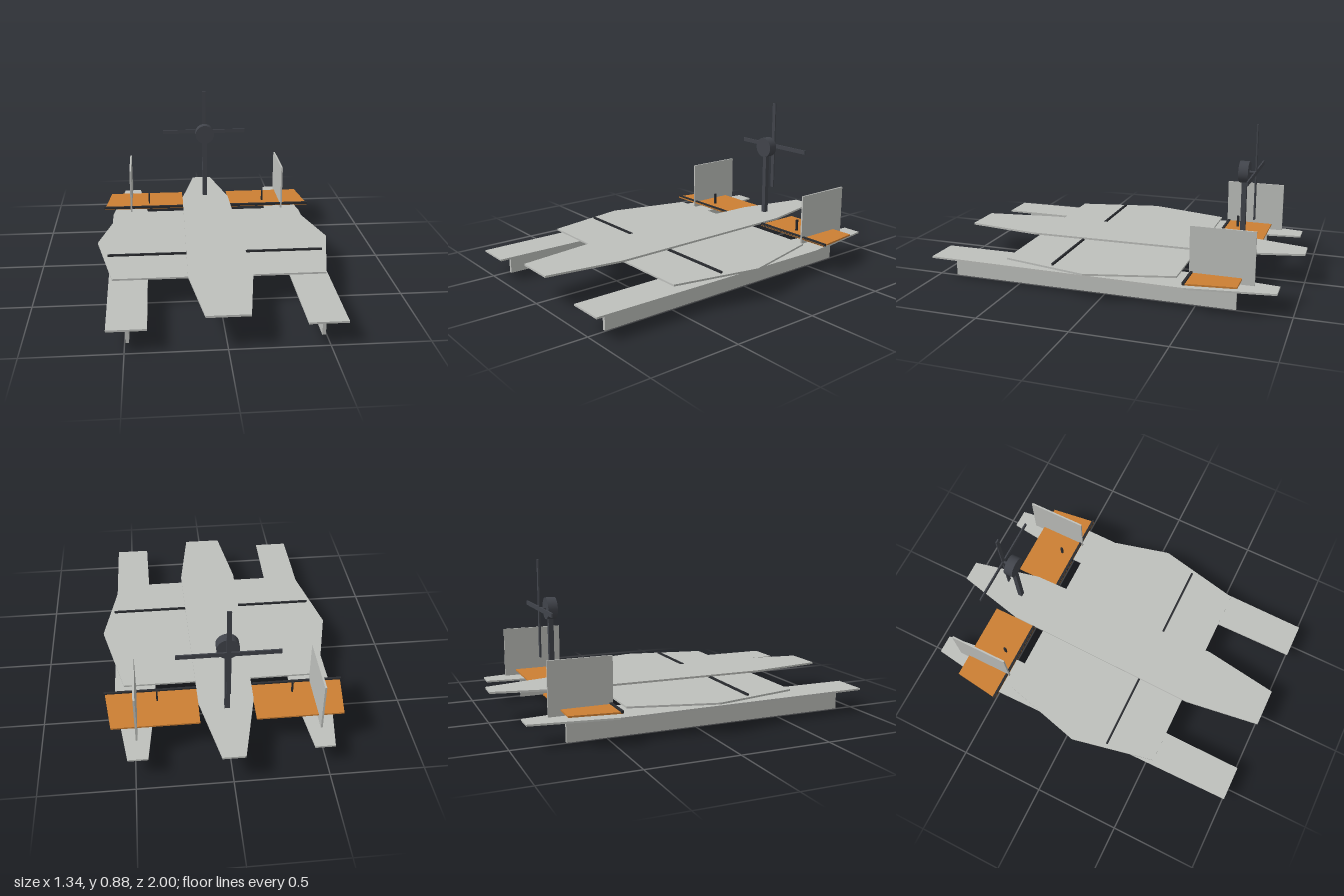
import * as THREE from 'three';

const mat = (name, color) => {
  const m = new THREE.MeshStandardMaterial({ color });
  m.name = name;
  return m;
};

export function createModel() {
  const model = new THREE.Group();
  model.name = 'seaplane';
  const foam = mat('pale grey foam', 0xbec0bc);
  const orange = mat('orange', 0xcc7f33);
  const carbon = mat('black carbon', 0x2a2c30);
  const metal = mat('dark grey', 0x41444b);

  const add = (name, geometry, material, x = 0, y = 0, z = 0) => {
    const mesh = new THREE.Mesh(geometry, material);
    mesh.name = name;
    mesh.position.set(x, y, z);
    model.add(mesh);
    return mesh;
  };
  const box = (name, material, [w, h, d], [x, y, z]) =>
    add(name, new THREE.BoxGeometry(w, h, d), material, x, y, z);

  // Flat sheet from an (x, z) outline, lying between y0 and y1
  const sheet = (name, material, outline, y0, y1) => {
    const shape = new THREE.Shape(outline.map(([x, z]) => new THREE.Vector2(x, -z)));
    const g = new THREE.ExtrudeGeometry(shape, { depth: y1 - y0, bevelEnabled: false });
    g.rotateX(-Math.PI / 2);
    return add(name, g, material, 0, y0, 0);
  };
  // Closes a half outline across x = 0
  const mirrored = (half) => [...half, ...half.map(([x, z]) => [-x, z]).reverse()];

  // Main wing and centre fuselage plate
  sheet('wing', foam, mirrored([[0.55, -0.41], [0.67, 0.06], [0.57, 0.54]]), 0.158, 0.168);
  sheet('fuselage', foam,
    mirrored([[0.06, -1], [0.15, -0.6], [0.172, 0.57], [0.11, 1]]), 0.176, 0.187);

  // Cross spar and elevator hinge rod
  box('spar', carbon, [1.21, 0.011, 0.011], [0, 0.174, 0.256]);
  box('hingeRod', carbon, [1.32, 0.014, 0.014], [0, 0.175, -0.472]);

  for (const [side, s] of [['left', 1], ['right', -1]]) {
    // Float deck, keel and fin
    const deck = [[0.43, -0.92], [0.376, -0.46], [0.387, 1], [0.585, 1], [0.603, -0.46], [0.536, -0.92]];
    sheet(side + 'FloatDeck', foam, deck.map(([x, z]) => [s * x, z]), 0.12, 0.13);
    box(side + 'Keel', foam, [0.018, 0.116, 1.61], [s * 0.487, 0.058, 0.095]);
    box(side + 'Fin', foam, [0.01, 0.285, 0.34], [s * 0.486, 0.282, -0.63]);

    // Elevator panel with its control horn
    const panel = [[0.15, -0.735], [0.15, -0.465], [0.655, -0.465], [0.62, -0.735]];
    sheet(side + 'Elevator', orange, panel.map(([x, z]) => [s * x, z]), 0.165, 0.174);
    box(side + 'ControlHorn', carbon, [0.009, 0.066, 0.014], [s * 0.37, 0.207, -0.547]);
  }

  // Motor mast, motor and crossed propeller blades
  box('mast', metal, [0.027, 0.42, 0.027], [0, 0.39, -0.643]);
  const motor = new THREE.CylinderGeometry(0.06, 0.06, 0.053, 32);
  motor.rotateX(Math.PI / 2);
  add('motor', motor, metal, 0, 0.608, -0.643);
  const shaft = new THREE.CylinderGeometry(0.008, 0.008, 0.04, 12);
  shaft.rotateX(Math.PI / 2);
  add('shaft', shaft, metal, 0, 0.608, -0.686);
  box('propellerBladeHorizontal', metal, [0.536, 0.024, 0.008], [0, 0.608, -0.705]);
  box('propellerBladeVertical', metal, [0.024, 0.536, 0.008], [0, 0.608, -0.705]);

  return model;
}
